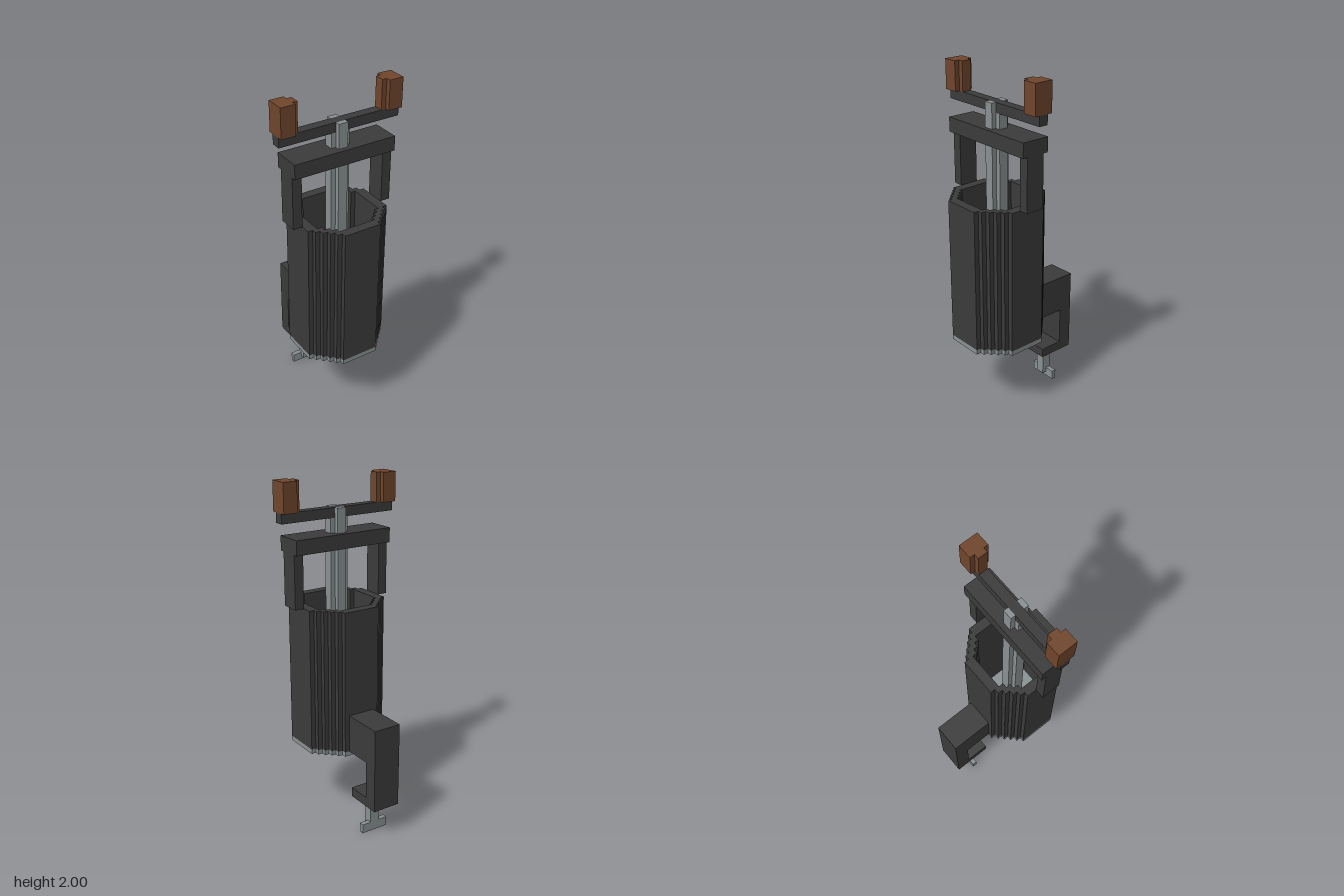
import * as THREE from 'three';

const U = 1 / 36; // one block; all sizes below are in blocks
const AXIS = 4.5; // z of the cylinder axis

export function createModel() {
  const model = new THREE.Group();
  model.name = 'clampedHandPress';
  const mat = (name, color) => {
    const m = new THREE.MeshStandardMaterial({ color });
    m.name = name;
    return m;
  };
  const iron = mat('darkIron', 0x3c3c3c);
  const steel = mat('steel', 0x8c9395);
  const wood = mat('brownWood', 0x72472d);

  const add = (name, geometry, material) => {
    const mesh = new THREE.Mesh(geometry, material);
    mesh.name = name;
    model.add(mesh);
    return mesh;
  };

  // Box given by its limits on each axis
  const box = (name, material, [x0, x1], [y0, y1], [z0, z1]) => {
    const g = new THREE.BoxGeometry((x1 - x0) * U, (y1 - y0) * U, (z1 - z0) * U);
    g.translate((x0 + x1) / 2 * U, (y0 + y1) / 2 * U, (z0 + z1) / 2 * U);
    return add(name, g, material);
  };

  // Outline with staircase corners: r = half width, flat = half length of straight sides
  const stepped = (r, flat) => {
    const quarter = [];
    for (let x = r, z = flat; x >= flat; x--, z++) {
      quarter.push([x, z]);
      if (x > flat) quarter.push([x - 1, z]);
    }
    const pts = [];
    for (let q = 0; q < 4; q++) {
      for (const [x, z] of quarter) {
        const [a, b] = [[x, z], [-z, x], [-x, -z], [z, -x]][q];
        pts.push(new THREE.Vector2(a * U, b * U));
      }
    }
    return pts;
  };

  // Upright prism from an outline around the cylinder axis
  const prism = (name, material, outline, y0, y1, hole) => {
    const shape = new THREE.Shape(outline);
    if (hole) shape.holes.push(new THREE.Path(hole));
    const g = new THREE.ExtrudeGeometry(shape, { depth: (y1 - y0) * U, bevelEnabled: false });
    g.rotateX(-Math.PI / 2);
    g.translate(0, y0 * U, AXIS * U);
    return add(name, g, material);
  };

  // Hollow barrel with its floor and bottom outlet
  prism('barrel', iron, stepped(9, 4), 17, 47, stepped(7, 4));
  prism('barrelFloor', steel, stepped(9, 4), 16, 17);
  prism('outlet', iron, stepped(4, 2), 15, 16);

  // Central shaft with a cross section, slotted at the top for the handle bar
  prism('shaft', steel, stepped(2, 1), 17, 64);
  for (const z of [AXIS - 2, AXIS + 1]) {
    box('shaftFork', steel, [-1, 1], [64, 66], [z, z + 1]);
  }

  // Bridge frame over the barrel
  box('bridge', iron, [-11, 11], [58, 61], [AXIS - 3, AXIS + 3]);
  box('handleBar', iron, [-13, 13], [64, 66], [AXIS - 1, AXIS + 1]);

  for (const s of [1, -1]) {
    const span = (a, b) => (s > 0 ? [a, b] : [-b, -a]);
    box('bridgePost', iron, span(9, 11), [47, 58], [AXIS - 2, AXIS + 2]);
    // Grip block with a rib facing inwards
    const outline = [[13, -2], [13, 2], [10, 2], [10, 1], [9, 1], [9, -1], [10, -1], [10, -2]]
      .map(([x, z]) => new THREE.Vector2(s * x * U, z * U));
    prism('handGrip', wood, outline, 66, 72);
  }

  // Clamp at the back, one C-shaped profile in z and y
  const profile = [[-4.5, 17], [-4.5, 25], [-13.5, 25], [-13.5, 7], [-5.5, 7], [-5.5, 9], [-10.5, 9], [-10.5, 17]];
  const clamp = new THREE.ExtrudeGeometry(
    new THREE.Shape(profile.map(([z, y]) => new THREE.Vector2(-z * U, y * U))),
    { depth: 6 * U, bevelEnabled: false }
  );
  clamp.rotateY(Math.PI / 2);
  clamp.translate(-3 * U, 0, 0);
  add('clamp', clamp, iron);

  // Clamp screw and its wing
  box('clampScrew', steel, [-1, 1], [1, 7], [-9.5, -7.5]);
  box('screwWing', steel, [-3, 3], [0, 2], [-9.5, -8.5]);

  return model;
}
